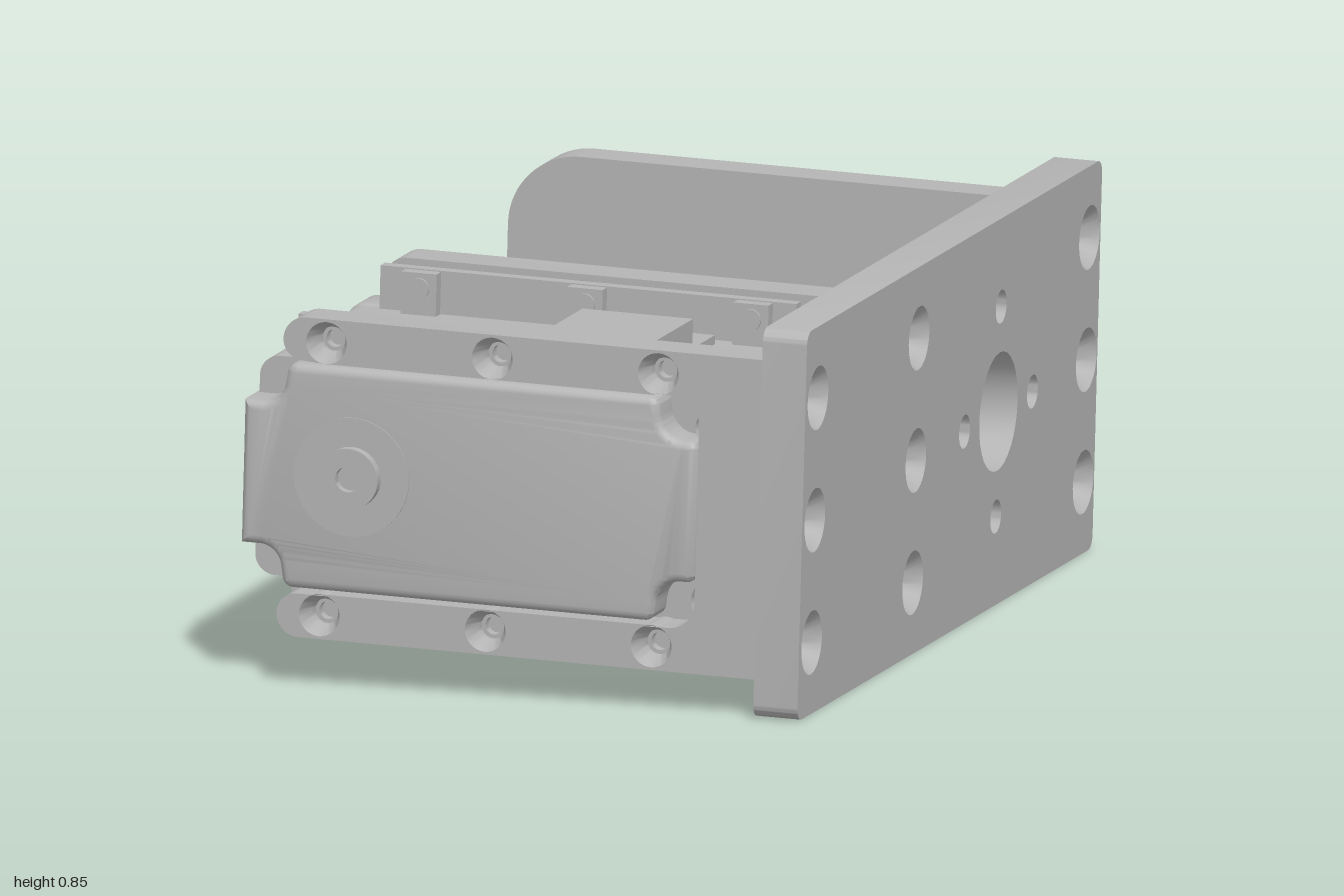
import * as THREE from 'three';
import { toCreasedNormals } from 'three/addons/utils/BufferGeometryUtils.js';

const gray = new THREE.MeshStandardMaterial({ color: 0xb4b4b4, side: THREE.DoubleSide });
gray.name = 'light gray';

function add(parent, name, geo, x = 0, y = 0, z = 0) {
  const m = new THREE.Mesh(geo, gray);
  m.name = name;
  m.position.set(x, y, z);
  parent.add(m);
  return m;
}

// closed outline from [x, y, cornerRadius] points
function outline(pts) {
  const s = new THREE.Shape();
  const n = pts.length;
  pts.forEach(([x, y, r = 0], i) => {
    const toward = ([a, b]) => {
      const d = Math.hypot(a - x, b - y);
      return [x + (a - x) * r / d, y + (b - y) * r / d];
    };
    const p = toward(pts[(i + n - 1) % n]), q = toward(pts[(i + 1) % n]);
    if (i) s.lineTo(...p); else s.moveTo(...p);
    if (r) {
      const k = 0.552, c = (e, o) => e + (o - e) * k;
      s.bezierCurveTo(c(p[0], x), c(p[1], y), c(q[0], x), c(q[1], y), ...q);
    }
  });
  s.closePath();
  return s;
}

function hole(shape, x, y, r) {
  const p = new THREE.Path();
  p.absarc(x, y, r, 0, Math.PI * 2, true);
  shape.holes.push(p);
}

// extrusion from z0 to z1 with an optional rounded edge
function slab(shape, z0, z1, b = 0) {
  const g = new THREE.ExtrudeGeometry(shape, {
    depth: z1 - z0 - 2 * b, curveSegments: 16, bevelEnabled: b > 0,
    bevelSize: b, bevelOffset: -b, bevelThickness: b, bevelSegments: 4 });
  g.translate(0, 0, z0 + b);
  return toCreasedNormals(g, 0.6);
}

// countersunk screw recess whose mouth faces +z
function recess(r, inner, t) {
  const pts = [[r, 0], [inner, -t * 0.45], [inner, -t * 0.6], [inner * 0.7, -t * 0.6],
    [inner * 0.7, -t * 0.85], [0, -t * 0.85], [0, -t + 0.002], [r, -t + 0.002]];
  const g = new THREE.LatheGeometry(pts.map(p => new THREE.Vector2(...p)), 28);
  g.rotateX(Math.PI / 2);
  return toCreasedNormals(g, 0.5);
}

const disc = (r, h, n = 48) => new THREE.CylinderGeometry(r, r, h, n).rotateX(Math.PI / 2);

const screws = [];
for (const s of [1, -1]) {
  for (const x of [-0.453, -0.078, 0.297]) screws.push([x, s * 0.298]);
  screws.push([0.43, s * 0.19]);
}

// mounting plate on the side, with screw rows and hub holes
function basePlate(root) {
  const g = new THREE.Group();
  g.name = 'basePlate';
  const s = outline([[-1, -0.426, 0.03], [1, -0.426, 0.03], [1, 0.426, 0.03], [-1, 0.426, 0.03]]);
  const places = [];
  for (const z of [0.915, 0.23, -0.925])
    for (const y of [-0.268, 0, 0.268]) places.push([-z, y]);
  places.forEach(([x, y]) => hole(s, x, y, 0.07));
  hole(s, 0.33, 0, 0.13);
  for (let i = 0; i < 4; i++)
    hole(s, 0.33 + 0.23 * Math.cos(i * Math.PI / 2), 0.23 * Math.sin(i * Math.PI / 2), 0.037);
  add(g, 'plate', slab(s, 0, 0.1));
  places.forEach(([x, y]) => add(g, 'plateScrewHole', recess(0.07, 0.037, 0.1), x, y, 0.1));
  g.rotation.y = Math.PI / 2;
  g.position.x = 0.542;
  root.add(g);
}

// open frame that holds one face of the servo
function servoFrame(root, name, z, facing) {
  const g = new THREE.Group();
  g.name = name;
  const s = outline([[0.543, -0.35], [0.543, 0.35], [-0.55, 0.35, 0.05], [-0.55, 0.255, 0.045],
    [0.392, 0.255, 0.06], [0.392, -0.255, 0.06], [-0.55, -0.255, 0.045], [-0.55, -0.35, 0.05]]);
  screws.forEach(([x, y]) => hole(s, x, y, 0.046));
  add(g, 'frame', slab(s, -0.05, 0.05));
  for (const [x, y] of screws) {
    const m = add(g, 'frameScrewHole', recess(0.046, 0.028, 0.1), x, y, facing * 0.05);
    if (facing < 0) m.rotation.y = Math.PI;
  }
  g.position.z = z;
  root.add(g);
}

function servo(root) {
  const g = new THREE.Group();
  g.name = 'servo';
  const body = (x0, x1, h, r) => outline([[x0, -h, r], [x1, -h, r], [x1, h, r], [x0, h, r]]);
  add(g, 'case', slab(body(-0.632, 0.387, 0.24, 0.045), 0.27, 0.87));
  add(g, 'rearCover', slab(body(-0.628, 0.385, 0.245, 0.04), 0.185, 0.3, 0.012));
  // front cover with notched corners
  add(g, 'frontCover', slab(outline([
    [-0.638, -0.157], [-0.555, -0.157, 0.04], [-0.54, -0.246, 0.02], [0.295, -0.246, 0.02],
    [0.305, -0.155, 0.05], [0.387, -0.155, 0.02], [0.387, 0.155, 0.02], [0.305, 0.155, 0.05],
    [0.295, 0.246, 0.02], [-0.54, 0.246, 0.02], [-0.555, 0.157, 0.04], [-0.638, 0.157]]),
    0.83, 0.963, 0.02));
  // screw flanges, posts and end tabs
  for (const s of [1, -1]) {
    for (const [z, d] of [[0.28, 1], [0.865, -1]]) {
      add(g, 'flange', new THREE.BoxGeometry(0.94, 0.1, 0.03), -0.08, s * 0.285, z + d * 0.015);
      for (const x of [-0.453, -0.078, 0.297]) {
        add(g, 'screwPost', new THREE.BoxGeometry(0.08, 0.095, 0.06), x, s * 0.285, z + d * 0.03);
        add(g, 'postScrew', disc(0.024, 0.008, 20), x, s * 0.298, z + d * 0.062);
      }
      add(g, 'endTab', new THREE.BoxGeometry(0.11, 0.1, 0.06), 0.435, s * 0.19, z + d * 0.03);
    }
    // cable sockets
    add(g, 'socket', new THREE.BoxGeometry(0.25, 0.11, 0.27), 0.112, s * 0.28, 0.687);
    add(g, 'socketPad', new THREE.BoxGeometry(0.22, 0.05, 0.18), 0.112, s * 0.235, 0.442);
    add(g, 'socketNeck', new THREE.BoxGeometry(0.17, 0.04, 0.06), 0.112, s * 0.235, 0.54);
    add(g, 'caseInset', new THREE.BoxGeometry(0.1, 0.008, 0.065), -0.205, s * 0.24, 0.685);
  }
  // idler boss on the front
  add(g, 'idlerRing', disc(0.13, 0.006), -0.389, 0.01, 0.963);
  const boss = [[0.067, -0.01], [0.067, 0.025], [0.028, 0.025], [0.028, 0.004], [0, 0.004]];
  const lathe = new THREE.LatheGeometry(boss.map(p => new THREE.Vector2(...p)), 40).rotateX(Math.PI / 2);
  add(g, 'idlerBoss', toCreasedNormals(lathe, 0.5), -0.389, 0.01, 0.965);
  // output horn on the rear
  for (const [name, r, z0, z1] of [['hornHub', 0.155, 0.16, 0.2], ['hornDisc', 0.24, 0.125, 0.168],
    ['hornStep', 0.085, 0.095, 0.13], ['shaft', 0.045, 0.042, 0.1]])
    add(g, name, disc(r, z1 - z0), -0.387, 0, (z0 + z1) / 2);
  root.add(g);
}

export function createModel() {
  const root = new THREE.Group();
  root.name = 'servoBracket';
  const tilted = new THREE.Group();
  tilted.name = 'bracketAssembly';
  tilted.position.set(0, 0.444, 0);
  tilted.rotation.z = -0.027;
  root.add(tilted);

  basePlate(tilted);
  servoFrame(tilted, 'frontFrame', 0.915, 1);
  servoFrame(tilted, 'rearFrame', 0.23, -1);
  servo(tilted);

  // far support arm with pivot hole
  const arm = outline([[0.543, -0.35], [0.543, 0.35], [-0.655, 0.35, 0.16], [-0.655, -0.35, 0.16]]);
  hole(arm, -0.387, 0, 0.02);
  add(tilted, 'supportArm', slab(arm, -0.975, -0.88));
  return root;
}
